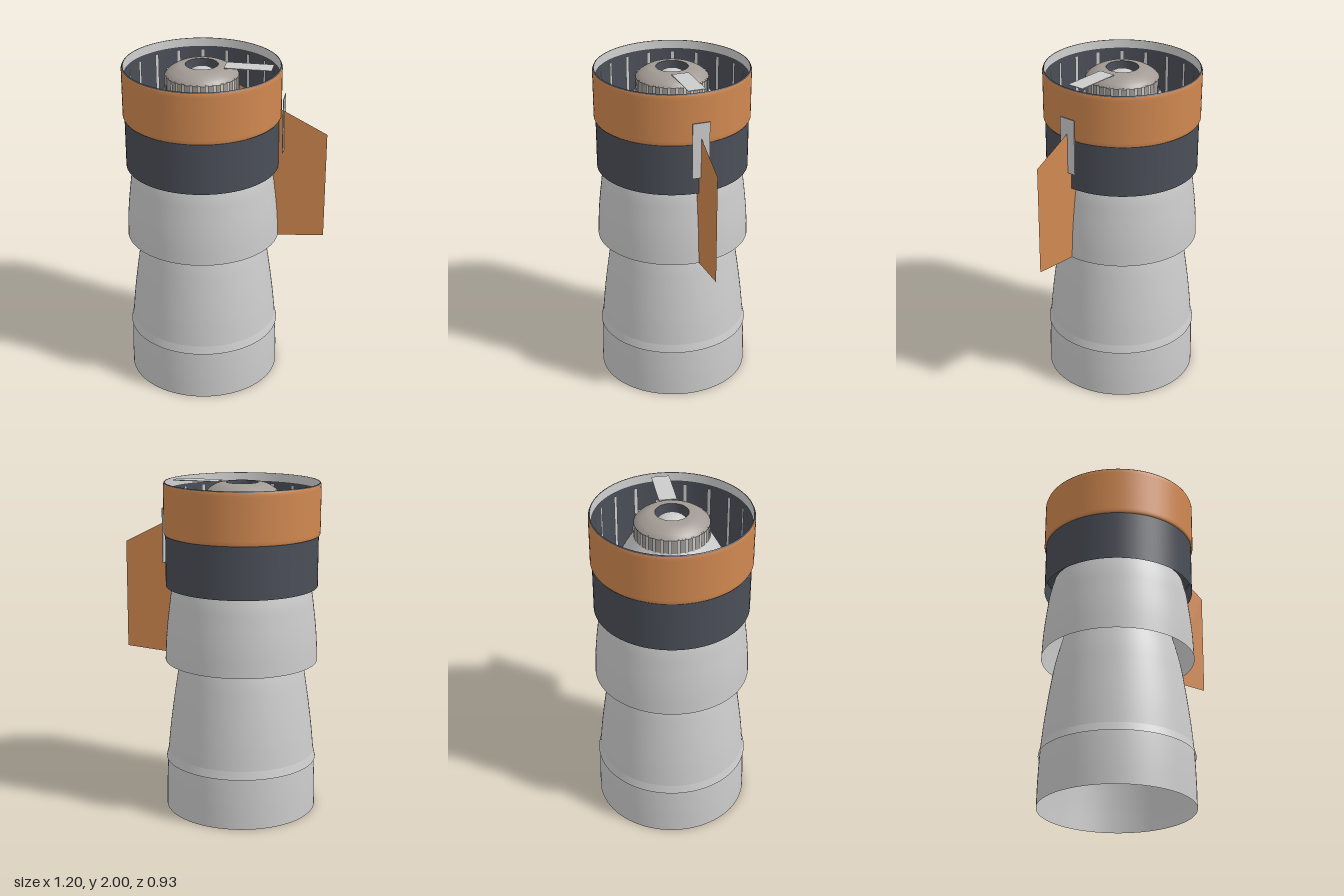
import * as THREE from 'three';

const AXIS_X = -0.136;
const SEGMENTS = 96;

const material = (color) => new THREE.MeshStandardMaterial({ color, side: THREE.DoubleSide });
const grey = material(0xcccccc);
const dark = material(0x4a4e57);
const orange = material(0xd08850);
const warmGrey = material(0xa29a94);

function add(parent, name, geometry, mat, x = 0, y = 0, z = 0) {
  const mesh = new THREE.Mesh(geometry, mat);
  mesh.name = name;
  mesh.position.set(x, y, z);
  parent.add(mesh);
  return mesh;
}

// Smooth surface of revolution from [radius, height] pairs
function turned(points) {
  return new THREE.LatheGeometry(points.map(([r, y]) => new THREE.Vector2(r, y)), SEGMENTS);
}

// Same, but every straight section keeps its own crisp edges
function addSections(parent, name, points, mat) {
  const group = new THREE.Group();
  group.name = name;
  for (let i = 0; i < points.length - 1; i++) {
    add(group, name + 'Section', turned([points[i], points[i + 1]]), mat);
  }
  parent.add(group);
}

// Curved taper through a few [radius, height] points
function taper(points) {
  const curve = new THREE.SplineCurve(points.map(([r, y]) => new THREE.Vector2(r, y)));
  return new THREE.LatheGeometry(curve.getPoints(20), SEGMENTS);
}

// Ring of thin upright strips facing outwards
function addStrips(parent, name, count, radius, width, bottom, top) {
  const group = new THREE.Group();
  group.name = name;
  const geometry = new THREE.PlaneGeometry(width, top - bottom);
  for (let i = 0; i < count; i++) {
    const a = ((i + 0.5) / count) * Math.PI * 2;
    const strip = add(group, name + 'Strip', geometry, grey,
      Math.sin(a) * radius, (top + bottom) / 2, Math.cos(a) * radius);
    strip.rotation.y = a;
  }
  parent.add(group);
}

export function createModel() {
  const model = new THREE.Group();
  model.name = 'ductedEngine';
  const body = new THREE.Group();
  body.name = 'engineBody';
  body.position.x = AXIS_X;
  model.add(body);

  // Nested tapering shells, bottom to top
  add(body, 'lowerSkirt', taper([[0.459, 0], [0.457, 0.15], [0.45, 0.31], [0.44, 0.4]]), grey);
  add(body, 'middleCollar', turned([[0.459, 0.31], [0.447, 0.36]]), grey);
  add(body, 'middleShell',
    taper([[0.447, 0.36], [0.43, 0.53], [0.4, 0.75], [0.367, 0.93], [0.28, 1.25]]), grey);
  add(body, 'upperShell',
    taper([[0.46, 0.93], [0.453, 1.08], [0.436, 1.24], [0.412, 1.385], [0.33, 1.65], [0.215, 1.86]]), grey);

  // Dark intake band with its inner wall
  add(body, 'intakeBand', turned([[0.454, 1.385], [0.454, 1.7]]), dark);
  addSections(body, 'intakeWall', [[0.45, 1.95], [0.45, 1.5], [0.395, 1.43]], dark);

  // Orange intake ring with rounded edges, dark lip and pale inner rim
  add(body, 'intakeRing', turned([
    [0.452, 1.692], [0.46, 1.694], [0.464, 1.702], [0.464, 1.72],
    [0.464, 1.97], [0.464, 1.985], [0.461, 1.994],
  ]), orange);
  add(body, 'intakeLip', turned([[0.461, 1.994], [0.458, 2.0], [0.454, 2.0]]), dark);
  add(body, 'innerRim', turned([[0.454, 2.0], [0.45, 1.95]]), grey);
  addStrips(body, 'wallStrips', 18, 0.425, 0.024, 1.6, 1.94);

  // Central hub: drum, domed cap with an opening, spinner inside
  add(body, 'hubDrum', turned([[0.21, 1.8], [0.21, 1.945]]), warmGrey);
  add(body, 'hubCap', taper([[0.214, 1.94], [0.19, 1.965], [0.145, 1.99], [0.095, 1.998]]), warmGrey);
  add(body, 'hubOpening', turned([[0.095, 1.998], [0.093, 1.93]]), dark);
  add(body, 'spinner', taper([[0.093, 1.93], [0.075, 1.955], [0.04, 1.975], [0, 1.982]]), grey);
  addStrips(body, 'hubStrips', 30, 0.218, 0.02, 1.82, 1.945);

  // Side fin running into the shell
  const fin = new THREE.Shape([
    [0.26, 0.925], [0.32, 0.93], [0.6, 0.95], [0.6, 1.61], [0.32, 1.755], [0.08, 1.89], [0.08, 1.75],
  ].map(([x, y]) => new THREE.Vector2(x, y)));
  add(model, 'sideFin', new THREE.ShapeGeometry(fin), orange);

  // Flat plates above and beside the fin
  add(model, 'topPlate', new THREE.BoxGeometry(0.275, 0.004, 0.104), grey, 0.1385, 1.998, 0);
  add(model, 'lowerPlate', new THREE.BoxGeometry(0.16, 0.004, 0.06), grey, 0.195, 1.845, 0);
  add(model, 'sidePlate', new THREE.BoxGeometry(0.005, 0.335, 0.104), grey, 0.346, 1.663, 0);

  return model;
}
